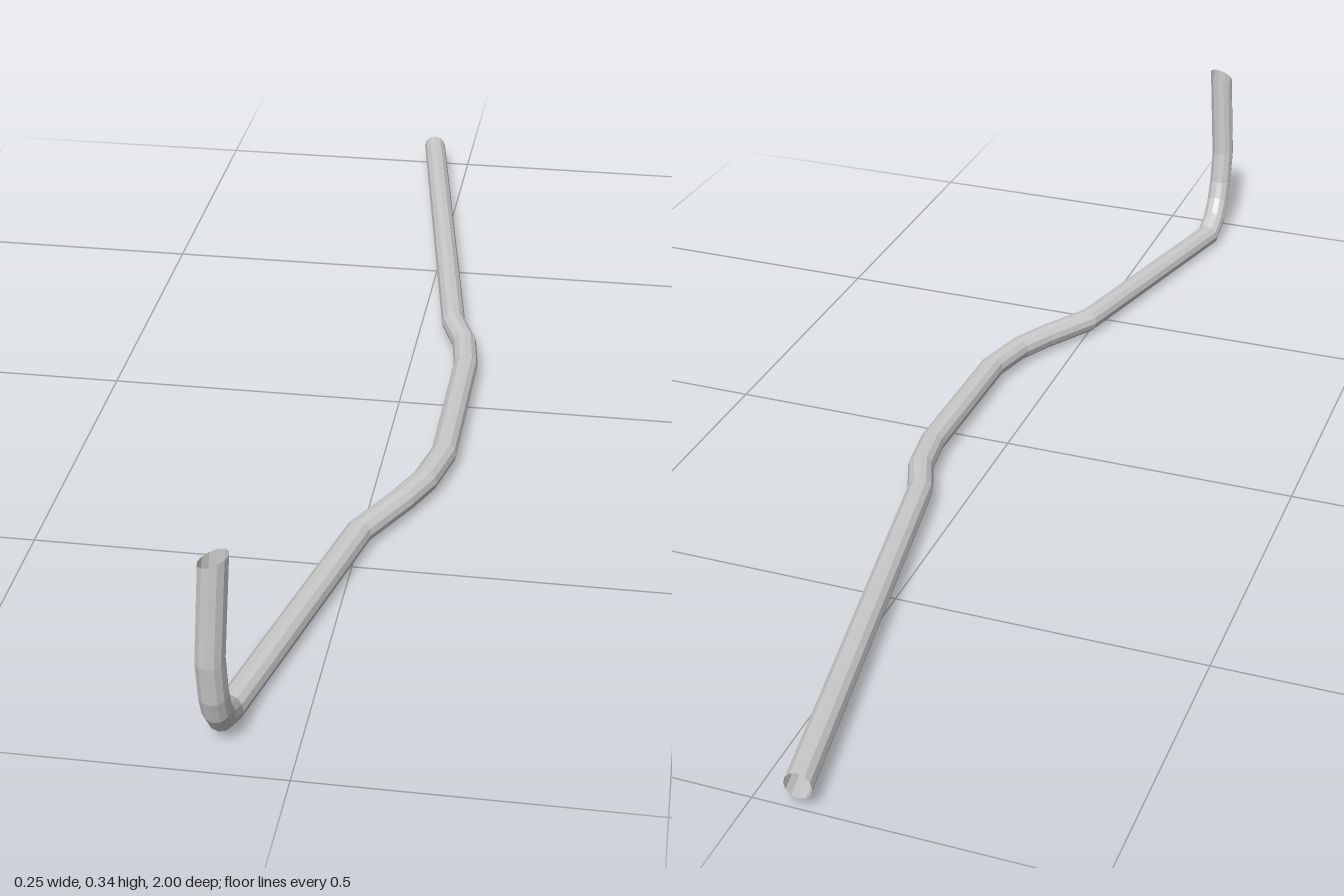
import * as THREE from 'three';

const RADIUS = 0.021;
const SIDES = 12;

// Sweeps a constant-width pipe along straight runs, mitred at every bend.
function mitredPipe(path, startNormal, endNormal) {
  const dirs = path.slice(1).map((p, i) => p.clone().sub(path[i]).normalize());
  const last = path.length - 1;

  // Round section square to the first run
  const side = new THREE.Vector3().crossVectors(new THREE.Vector3(0, 1, 0), dirs[0]).normalize();
  const up = new THREE.Vector3().crossVectors(dirs[0], side);
  let ring = [];
  for (let j = 0; j < SIDES; j++) {
    const a = (j / SIDES) * Math.PI * 2;
    ring.push(path[0].clone()
      .addScaledVector(side, RADIUS * Math.cos(a))
      .addScaledVector(up, RADIUS * Math.sin(a)));
  }

  // Slide each section along its run until it meets the next cutting plane
  const positions = [];
  const index = [];
  path.forEach((p, i) => {
    const dir = dirs[Math.max(i - 1, 0)];
    const normal = i === 0 ? startNormal
      : i === last ? endNormal
      : dirs[i - 1].clone().add(dirs[i]).normalize();
    ring = ring.map((v) => {
      const t = p.clone().sub(v).dot(normal) / dir.dot(normal);
      return v.clone().addScaledVector(dir, t);
    });
    ring.forEach((v) => positions.push(v.x, v.y, v.z));
    if (i === 0) return;
    for (let j = 0; j < SIDES; j++) {
      const k = (j + 1) % SIDES;
      const a = (i - 1) * SIDES + j, b = (i - 1) * SIDES + k;
      const c = i * SIDES + k, d = i * SIDES + j;
      index.push(a, b, c, a, c, d);
    }
  });

  const geometry = new THREE.BufferGeometry();
  geometry.setAttribute('position', new THREE.Float32BufferAttribute(positions, 3));
  geometry.setIndex(index);
  geometry.computeVertexNormals();
  return geometry;
}

export function createModel() {
  const group = new THREE.Group();
  group.name = 'bentPipe';

  // Centre line from the rear end, round the side jog, to the upturned front end
  const path = [
    [-0.07, 0.039, -1],
    [0.064, 0.033, -0.24],
    [0.092, 0.032, -0.17],
    [0.104, 0.031, -0.09],
    [0.103, 0.029, 0.2],
    [0.083, 0.028, 0.285],
    [0.055, 0.027, 0.345],
    [0.002, 0.025, 0.44],
    [-0.106, 0.021, 0.89],
    [-0.107, 0.042, 0.931],
    [-0.107, 0.073, 0.955],
    [-0.107, 0.108, 0.968],
    [-0.107, 0.17, 0.977],
    [-0.096, 0.332, 0.979],
  ].map((p) => new THREE.Vector3(...p));

  // Open pipe: rear end cut square to z, front end cut on a slant
  const pipe = new THREE.Mesh(
    mitredPipe(path, new THREE.Vector3(0, 0, 1), new THREE.Vector3(-0.36, 0.93, 0).normalize()),
    new THREE.MeshStandardMaterial({ color: 0xcccccc, flatShading: true, side: THREE.DoubleSide }),
  );
  pipe.name = 'pipe';
  group.add(pipe);
  return group;
}
